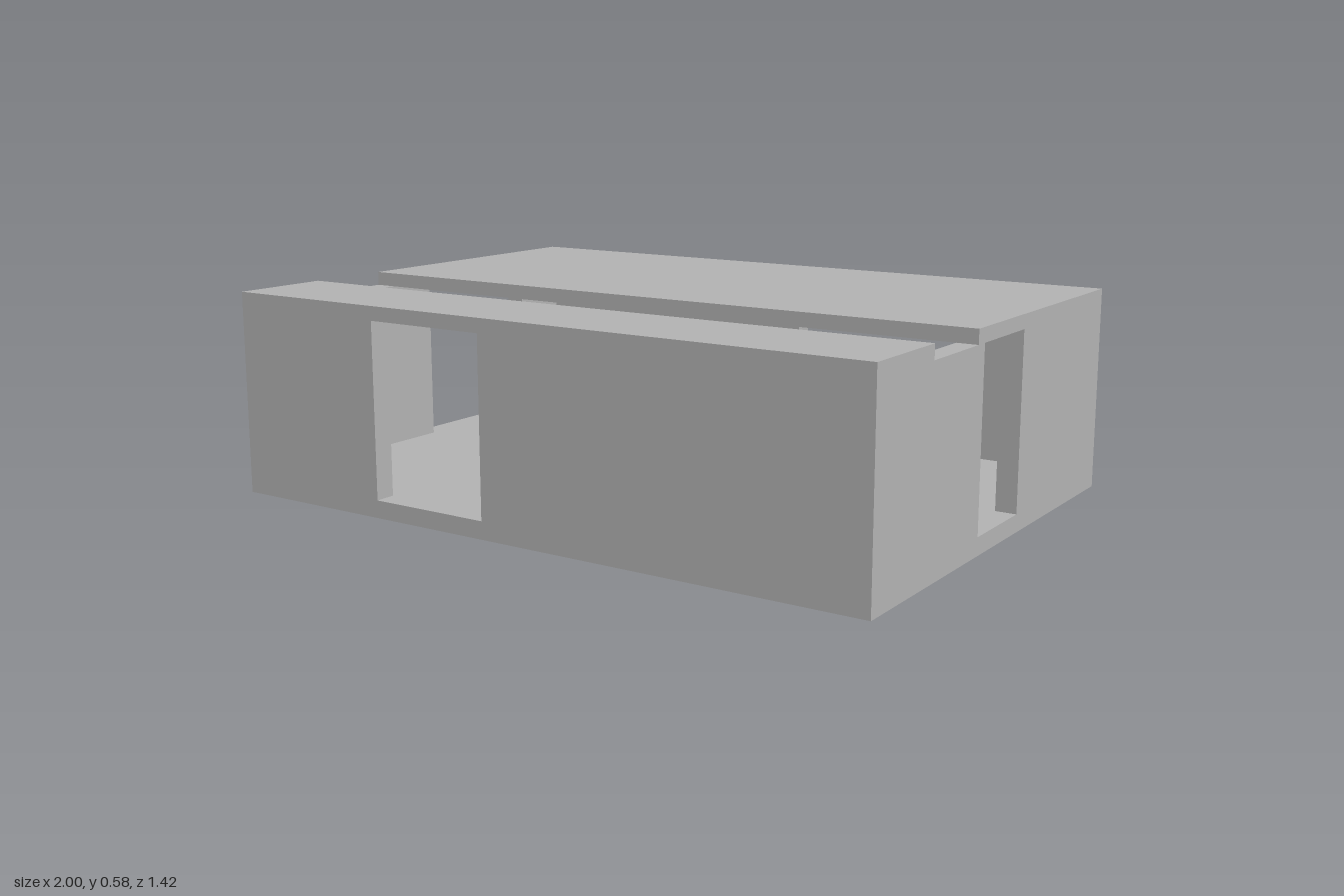
import * as THREE from 'three';

const X = 1, Z = 0.71, T = 0.06;           // half width, half depth, wall thickness
const FLOOR = 0.05, EAVE = 0.545, TOP = 0.585;

export function createModel() {
  const group = new THREE.Group();
  const grey = new THREE.MeshStandardMaterial({ color: 0xb2b2b2 });
  grey.name = 'plain grey';

  // Box given by its limits on each axis
  function block(name, [x0, x1], [y0, y1], [z0, z1]) {
    const mesh = new THREE.Mesh(new THREE.BoxGeometry(x1 - x0, y1 - y0, z1 - z0), grey);
    mesh.position.set((x0 + x1) / 2, (y0 + y1) / 2, (z0 + z1) / 2);
    mesh.name = name;
    group.add(mesh);
  }

  // Floor slab
  block('floor', [-X, X], [0, FLOOR], [-Z, Z]);

  // Roof slabs on either side of the open slot
  block('rearRoof', [-X, X], [EAVE, TOP], [-Z, 0.165]);
  block('frontRoof', [-X, X], [EAVE, TOP], [0.418, Z]);

  // Front and back walls, each in two lengths beside a doorway
  const wallY = [FLOOR, EAVE];
  for (const span of [[-X, -0.5], [-0.13, X]]) block('frontWall', span, wallY, [Z - T, Z]);
  for (const span of [[-X, 0.04], [0.58, X]]) block('backWall', span, wallY, [-Z, -Z + T]);

  // Side walls between the front and back walls
  const inner = Z - T;
  for (const span of [[-inner, -0.127], [0.127, inner]]) block('leftWall', [X - T, X], wallY, span);
  for (const span of [[-inner, -0.46], [0, 0.205], [0.51, inner]]) block('rightWall', [-X, -X + T], wallY, span);

  // Low blocks standing in two inner corners
  const lowY = [FLOOR, 0.15];
  block('frontCornerBlock', [-0.91, -0.78], lowY, [0.515, inner]);
  block('backCornerBlock', [-X + T, -0.815], lowY, [-inner, -0.535]);

  return group;
}
